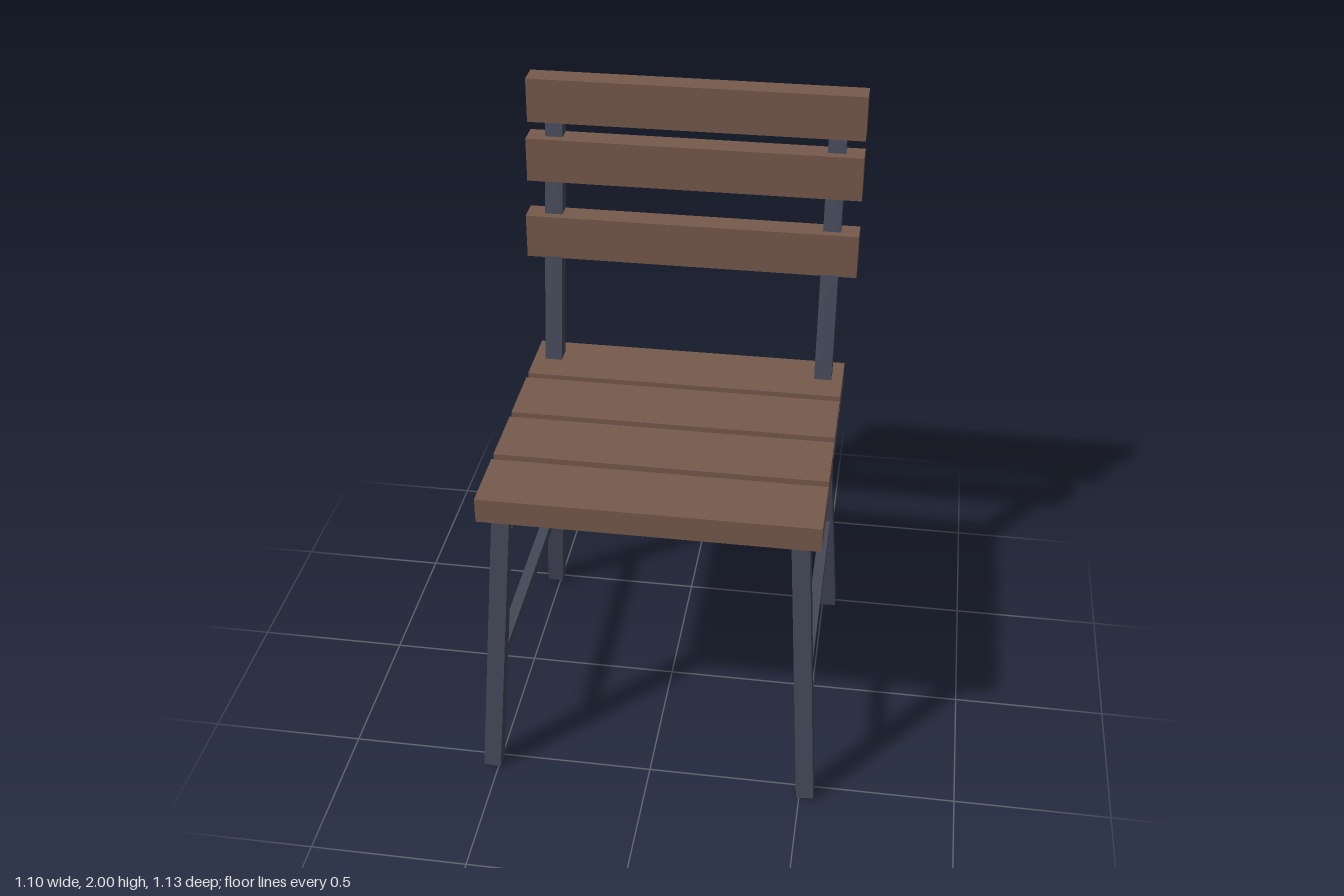
import * as THREE from 'three';

export function createModel() {
  const group = new THREE.Group();
  const wood = new THREE.MeshStandardMaterial({ name: 'brown wood', color: 0x775b4d });
  const metal = new THREE.MeshStandardMaterial({ name: 'dark slate metal', color: 0x444858 });
  const up = new THREE.Vector3(0, 1, 0);

  // Axis-aligned board from its size and centre
  function board(name, material, size, centre) {
    const mesh = new THREE.Mesh(new THREE.BoxGeometry(...size), material);
    mesh.name = name;
    mesh.position.set(...centre);
    group.add(mesh);
  }

  // Square tube running upward from a to b
  function bar(name, a, b, width) {
    const start = new THREE.Vector3(...a);
    const dir = new THREE.Vector3(...b).sub(start);
    const mesh = new THREE.Mesh(new THREE.BoxGeometry(width, dir.length(), width), metal);
    mesh.name = name;
    mesh.position.copy(start).addScaledVector(dir, 0.5);
    mesh.quaternion.setFromUnitVectors(up, dir.normalize());
    group.add(mesh);
  }

  // Seat planks, front to back
  for (let i = 0; i < 4; i++) {
    board('seatPlank' + (i + 1), wood, [1.054, 0.082, 0.224], [0, 1.011, 0.411 - i * 0.2525]);
  }

  // Backrest slats, stepping back as they rise
  [[1.481, -0.445], [1.735, -0.49], [1.926, -0.527]].forEach(([y, z], i) => {
    board('backSlat' + (i + 1), wood, [1.1, 0.148, 0.081], [0, y, z]);
  });

  // Frame, mirrored left and right
  for (const [side, s] of [['left', 1], ['right', -1]]) {
    bar(side + 'FrontLeg', [s * 0.519, 0.005, 0.537], [s * 0.461, 0.966, 0.451], 0.056);
    bar(side + 'BackLeg', [s * 0.519, 0.005, -0.492], [s * 0.461, 0.966, -0.367], 0.056);
    bar(side + 'BackPost', [s * 0.461, 0.96, -0.35], [s * 0.461, 1.91, -0.527], 0.058);
    board(side + 'SeatRail', metal, [0.058, 0.058, 0.81], [s * 0.461, 0.931, 0.042]);
    board(side + 'Stretcher', metal, [0.036, 0.036, 0.91], [s * 0.494, 0.403, 0.031]);
  }

  // Rail under the front of the seat
  board('frontRail', metal, [0.9, 0.056, 0.056], [0, 0.943, 0.403]);

  return group;
}
